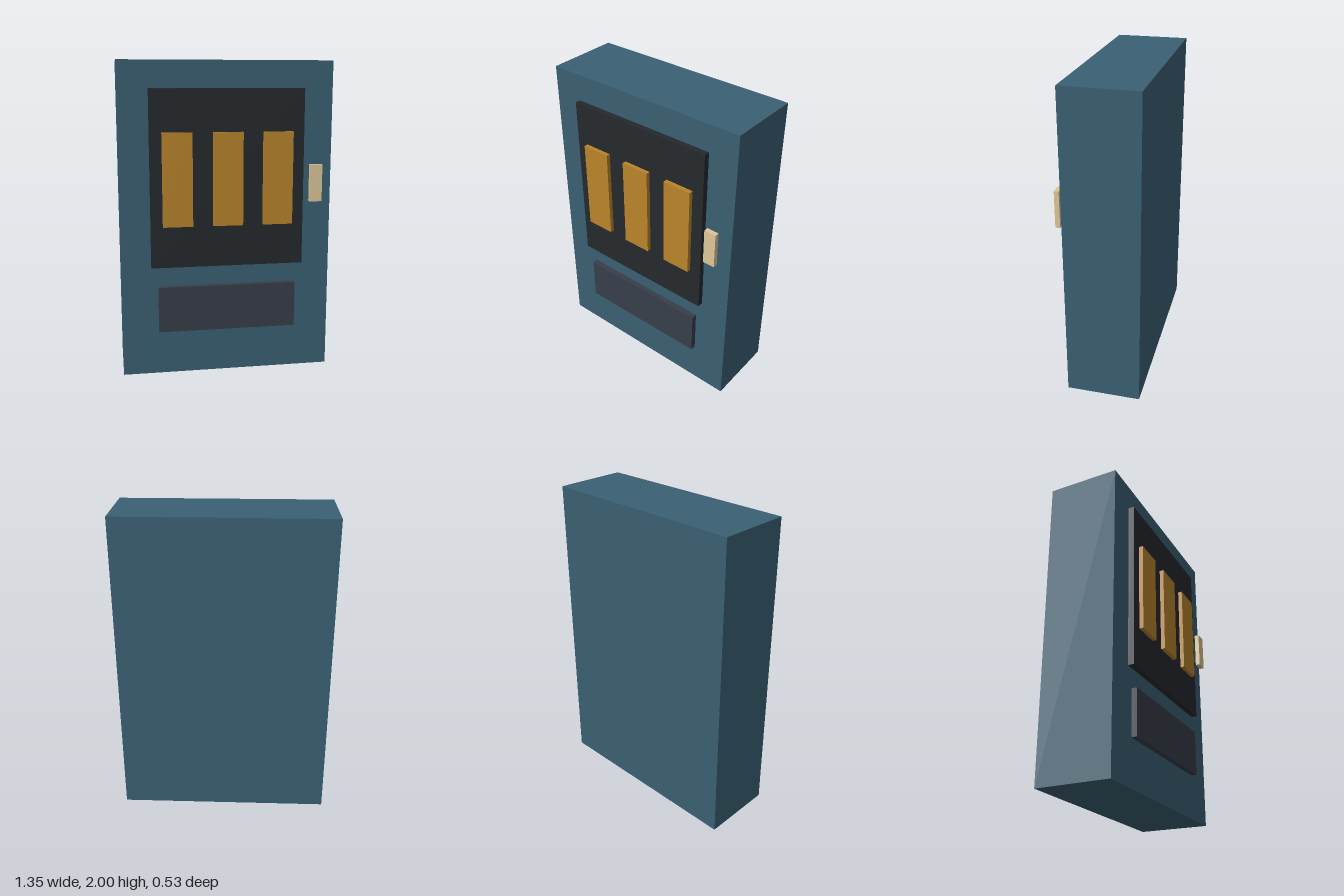
import * as THREE from 'three';

export function createModel() {
  const model = new THREE.Group();
  model.name = 'vendingMachine';

  const paint = (color) => new THREE.MeshStandardMaterial({ color });
  const teal = paint(0x3a6073);
  const black = paint(0x25292d);
  const slate = paint(0x373e49);
  const amber = paint(0xb9842b);
  const cream = paint(0xdec79a);

  // Box given by its extents along each axis
  function box(name, material, [x0, x1], [y0, y1], [z0, z1]) {
    const mesh = new THREE.Mesh(new THREE.BoxGeometry(x1 - x0, y1 - y0, z1 - z0), material);
    mesh.position.set((x0 + x1) / 2, (y0 + y1) / 2, (z0 + z1) / 2);
    mesh.name = name;
    model.add(mesh);
  }

  const bodyFront = 0.203, panelFront = 0.24, front = 0.267;

  // Cabinet and the two panels on its front
  box('cabinet', teal, [-0.675, 0.675], [0, 2], [-front, bodyFront]);
  box('displayWindow', black, [-0.486, 0.486], [0.715, 1.83], [bodyFront, panelFront]);
  box('dispensingTray', slate, [-0.443, 0.443], [0.29, 0.585], [bodyFront, panelFront]);

  // Three upright product panels on the window
  for (const i of [-1, 0, 1]) {
    const x = i * 0.317;
    box(`productPanel${i + 2}`, amber, [x - 0.094, x + 0.094], [0.98, 1.565], [panelFront, front]);
  }

  // Coin plate, standing slightly clear of the cabinet
  box('coinPlate', cream, [0.523, 0.602], [1.12, 1.355], [0.237, front]);

  return model;
}
